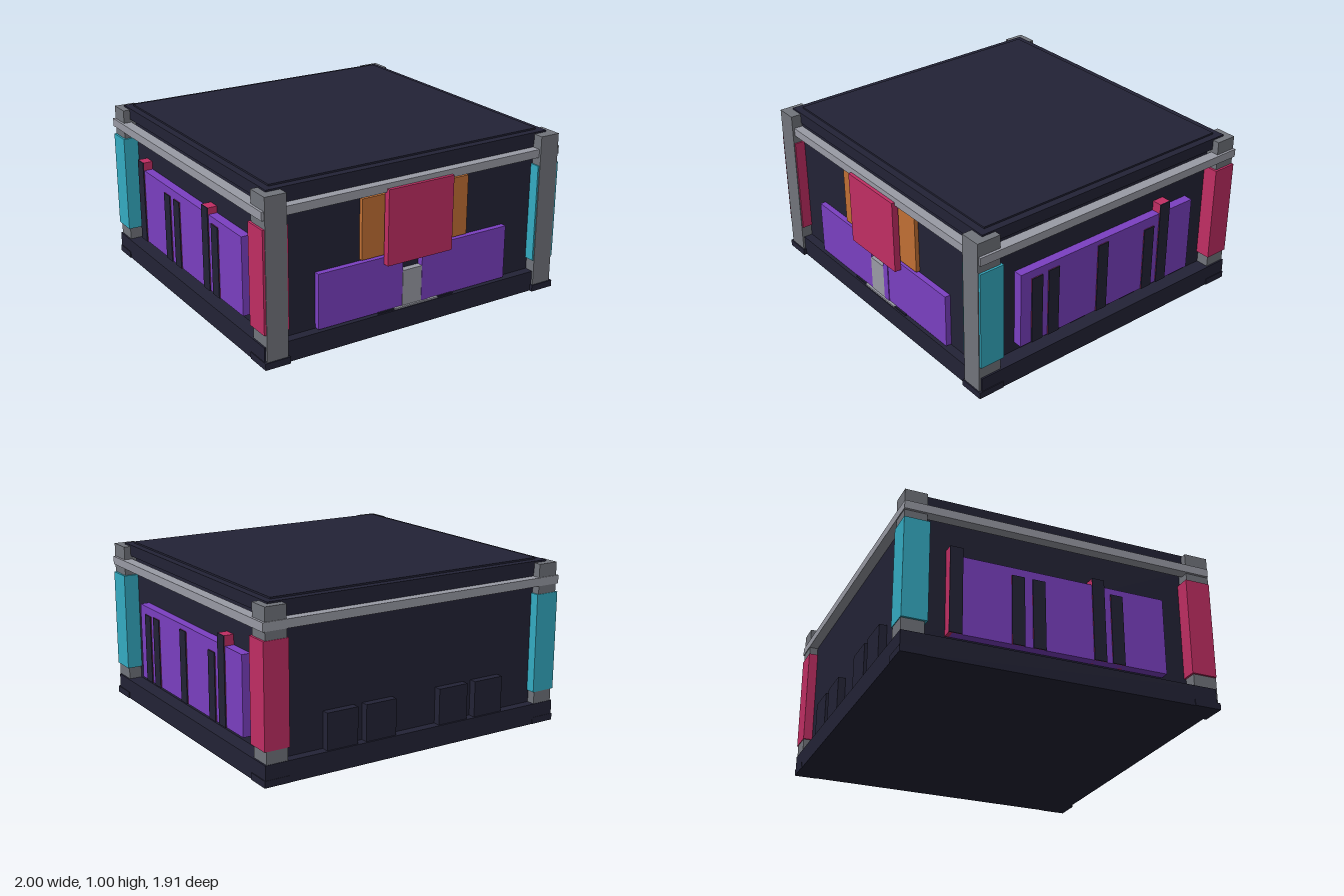
import * as THREE from 'three';

export function createModel() {
  const model = new THREE.Group();
  const mat = (name, color) => {
    const m = new THREE.MeshStandardMaterial({ color });
    m.name = name;
    return m;
  };
  const dark = mat('dark navy', 0x232336);
  const rail = mat('light grey', 0x9a9ca6);
  const steel = mat('steel grey', 0x72757c);
  const pink = mat('magenta', 0xc22e64);
  const teal = mat('teal', 0x35adc4);
  const orange = mat('orange', 0xc27034);
  const purple = mat('purple', 0x7b40c2);

  // box given by its extents on each axis
  const box = (name, material, [x0, x1], [y0, y1], [z0, z1]) => {
    const mesh = new THREE.Mesh(new THREE.BoxGeometry(x1 - x0, y1 - y0, z1 - z0), material);
    mesh.position.set((x0 + x1) / 2, (y0 + y1) / 2, (z0 + z1) / 2);
    mesh.name = name;
    model.add(mesh);
    return mesh;
  };
  // extent mirrored to the chosen side
  const side = (s, a, b) => (s > 0 ? [a, b] : [-b, -a]);

  // base, walls and stepped roof
  box('base', dark, [-0.995, 0.995], [0, 0.125], [-0.955, 0.935]);
  box('walls', dark, [-0.905, 0.905], [0.125, 0.93], [-0.9, 0.88]);
  box('roof', dark, [-0.943, 0.943], [0.92, 0.99], [-0.905, 0.885]);
  box('roofCap', dark, [-0.9, 0.9], [0.99, 1], [-0.86, 0.84]);

  // corner posts with feet and coloured sleeves
  for (const sx of [-1, 1]) {
    for (const sz of [-1, 1]) {
      const z = sz > 0 ? [0.8, 0.948] : [-0.952, -0.82];
      box('cornerPost', steel, side(sx, 0.855, 0.985), [0.04, 0.98], z);
      box('cornerFoot', dark, side(sx, 0.845, 1), [0, 0.04], sz > 0 ? [0.79, 0.955] : [-0.957, -0.81]);
      box('cornerSleeve', sx * sz > 0 ? teal : pink, side(sx, 0.845, 0.998), [0.2, 0.8],
        sz > 0 ? [0.787, 0.943] : [-0.956, -0.807]);
    }
    box('sideRail', rail, side(sx, 0.935, 1), [0.85, 0.9], [-0.957, 0.94]);
  }
  box('frontRail', rail, [-1, 1], [0.85, 0.9], [0.875, 0.935]);
  box('backRail', rail, [-1, 1], [0.85, 0.9], [-0.957, -0.895]);

  // side panels with magenta blocks faced in dark plates: [z centre, top]
  const bars = {
    1: [[0.528, 0.6], [0.41, 0.605], [0.048, 0.62], [-0.31, 0.585], [-0.428, 0.71]],
    '-1': [[-0.64, 0.7], [-0.275, 0.6], [-0.15, 0.6], [0.22, 0.69], [0.335, 0.61]],
  };
  for (const s of [1, -1]) {
    box('sidePanel', purple, side(s, 0.9, 0.96), [0.18, 0.65], [-0.655, 0.64]);
    for (const [z, top] of bars[s]) {
      box('barCore', pink, side(s, 0.9, 0.962), [0.18, top], [z - 0.038, z + 0.038]);
      box('barFace', dark, side(s, 0.962, 0.968), [0.18, top], [z - 0.038, z + 0.038]);
    }
  }

  // front: lower panels, doorway, threshold and sign boards
  box('frontPanelLeft', purple, [0.085, 0.645], [0.13, 0.46], [0.87, 0.915]);
  box('frontPanelRight', purple, [-0.645, -0.09], [0.13, 0.46], [0.87, 0.915]);
  box('doorLeaf', purple, [0.04, 0.085], [0.13, 0.45], [0.87, 0.92]);
  box('door', rail, [-0.09, 0.04], [0.125, 0.35], [0.87, 0.918]);
  box('threshold', rail, [-0.15, 0.15], [0.125, 0.134], [0.88, 0.93]);
  box('step', dark, [-0.26, 0.26], [0.125, 0.133], [0.88, 0.925]);
  box('backBoard', orange, [-0.36, 0.36], [0.47, 0.83], [0.86, 0.905]);
  box('frontBoard', pink, [-0.22, 0.22], [0.42, 0.87], [0.915, 0.955]);

  // row of boxes along the back wall
  for (const x of [-0.505, -0.25, 0.25, 0.505]) {
    box('rearUnit', dark, [x - 0.1, x + 0.1], [0.125, 0.34], [-0.945, -0.89]);
  }
  return model;
}
